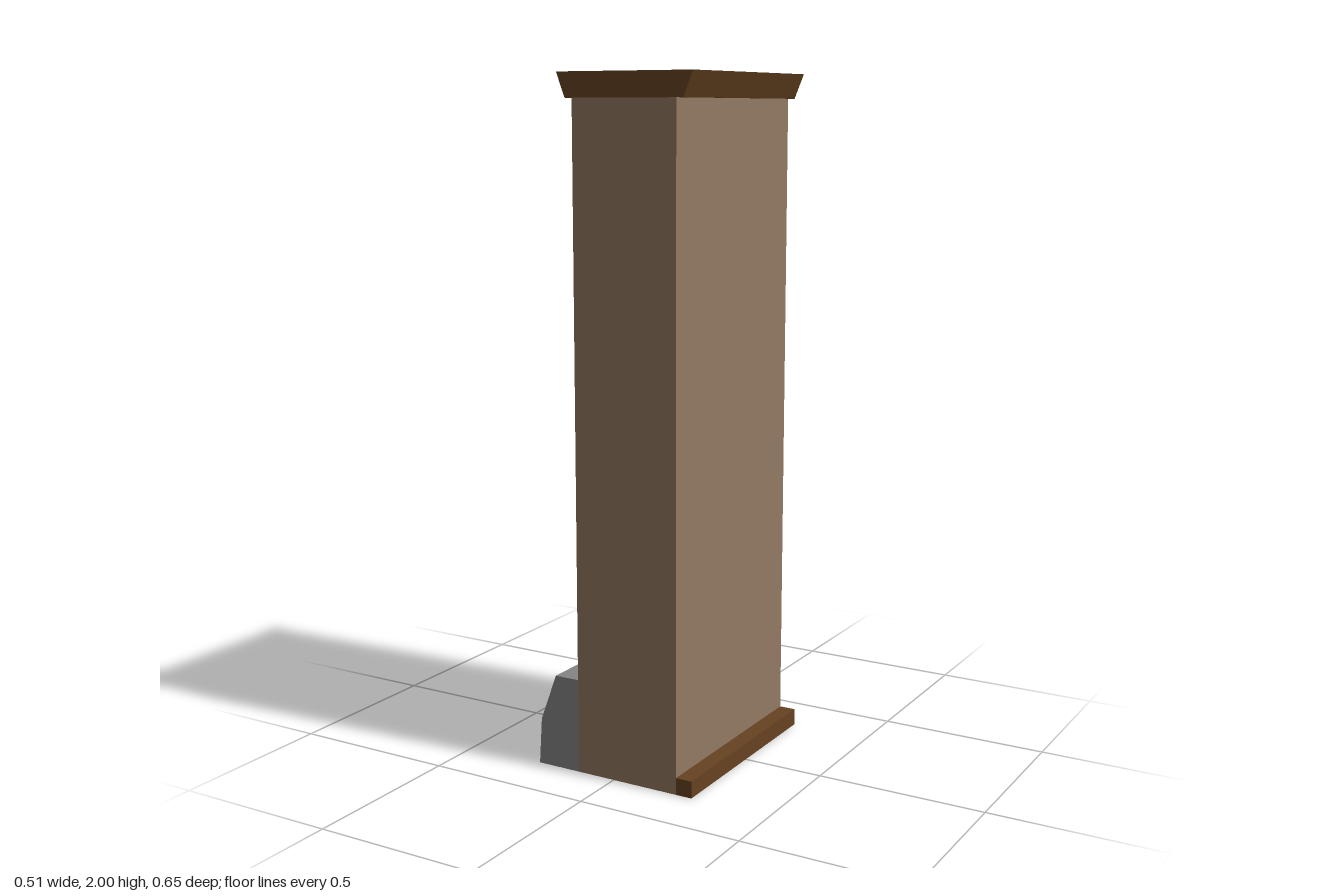
import * as THREE from 'three';
import { toCreasedNormals } from 'three/addons/utils/BufferGeometryUtils.js';

const DEPTH = 0.655;

export function createModel() {
  const plaster = new THREE.MeshStandardMaterial({ name: 'plaster', color: 0x917a62 });
  const wood = new THREE.MeshStandardMaterial({ name: 'brown wood', color: 0x674221 });
  const stone = new THREE.MeshStandardMaterial({ name: 'grey stone', color: 0x858585 });

  const model = new THREE.Group();
  model.name = 'wallSection';

  // Runs an x/y cross-section along the full depth of the wall
  const addRun = (name, material, profile) => {
    const shape = new THREE.Shape(profile.map(([x, y]) => new THREE.Vector2(x, y)));
    const geometry = new THREE.ExtrudeGeometry(shape, { depth: DEPTH, bevelEnabled: false });
    geometry.translate(0, 0, -DEPTH / 2);
    const mesh = new THREE.Mesh(toCreasedNormals(geometry, Math.PI / 6), material);
    mesh.name = name;
    model.add(mesh);
  };

  // Main wall
  addRun('wall', plaster, [[-0.12, 0], [0.207, 0], [0.207, 1.93], [-0.12, 1.93]]);
  // Cap flaring outwards to the top
  addRun('cap', wood, [[-0.143, 1.93], [0.228, 1.93], [0.257, 2], [-0.17, 2]]);
  // Low skirting on the inner side
  addRun('skirting', wood, [[0.207, 0], [0.257, 0], [0.257, 0.05], [0.207, 0.05]]);
  // Rounded stone footing on the outer side
  addRun('footing', stone, [[-0.258, 0], [-0.12, 0], [-0.12, 0.28], [-0.197, 0.28], [-0.249, 0.14]]);

  return model;
}
